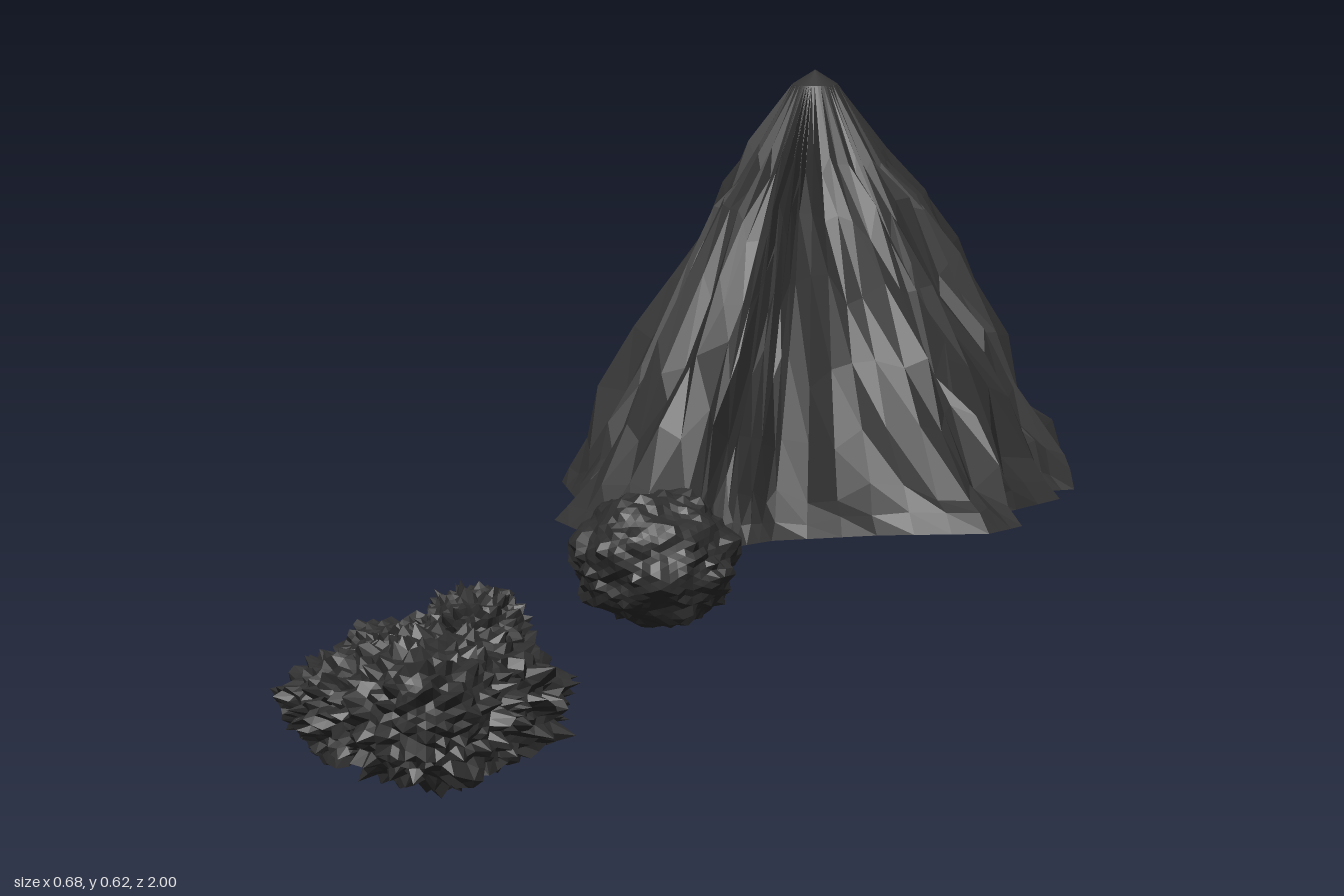
import * as THREE from 'three';
import { mergeVertices } from 'three/addons/utils/BufferGeometryUtils.js';

// Small seeded random generator
function seeded(seed) {
  let s = seed;
  return () => {
    s = (s * 1664525 + 1013904223) % 4294967296;
    return s / 4294967296;
  };
}

// Footprint of the mountain as [x, z], counterclockwise from the back
const footprint = [
  [0, -1], [-0.07, -0.995], [-0.12, -0.975], [-0.18, -0.94], [-0.235, -0.885], [-0.275, -0.815],
  [-0.297, -0.74], [-0.302, -0.63], [-0.34, -0.56], [-0.29, -0.46], [-0.26, -0.43],
  [-0.27, -0.31], [-0.18, -0.21], [-0.065, -0.165], [-0.04, -0.23], [0, -0.21],
  [0.035, -0.26], [0.155, -0.33], [0.29, -0.38], [0.32, -0.44], [0.27, -0.5], [0.33, -0.63],
  [0.29, -0.67], [0.335, -0.7], [0.27, -0.76], [0.29, -0.84], [0.235, -0.87], [0.19, -0.93],
  [0.14, -0.965], [0.08, -0.99],
];

// Rings from summit to foot:
// [height, radius, how far it follows the footprint, roughness, extra bulge at the back]
const rings = [
  [0.598, 0.03, 0, 0, 0], [0.5, 0.083, 0.3, 0.12, 0.02], [0.43, 0.132, 0.5, 0.14, 0.03],
  [0.35, 0.172, 0.5, 0.15, 0.04], [0.26, 0.222, 0.55, 0.15, 0.04], [0.18, 0.26, 0.65, 0.14, 0.035],
  [0.11, 0.297, 0.8, 0.1, 0.03], [0.078, 0.318, 0.92, 0.04, 0.015], [0.055, 0.335, 1, 0, 0],
];

function mountainGeometry() {
  const rand = seeded(7);
  const cx = -0.005, cz = -0.62, split = 3;
  // Columns: subdivided footprint with one gully or ridge offset each
  const columns = [];
  footprint.forEach(([x, z], i) => {
    const [nx, nz] = footprint[(i + 1) % footprint.length];
    for (let k = 0; k < split; k++) {
      const t = k / split;
      const dx = x + (nx - x) * t - cx, dz = z + (nz - z) * t - cz;
      const r = Math.hypot(dx, dz);
      columns.push({ ux: dx / r, uz: dz / r, r, ridge: rand() * 2 - 1 });
    }
  });
  const n = columns.length, pos = [], index = [];
  for (const [y, radius, follow, rough, bulge] of rings) {
    for (const c of columns) {
      const bump = 1 + rough * (c.ridge * 0.5 + (rand() - 0.5) * 0.9);
      const r = (radius * (1 + (c.r / 0.335 - 1) * follow) + bulge * Math.max(0, -c.uz)) * bump;
      const lift = (rand() - 0.5) * rough * 0.4;
      pos.push(cx + c.ux * r, y + lift, cz + c.uz * r);
    }
  }
  for (let i = 0; i < rings.length - 1; i++) {
    for (let j = 0; j < n; j++) {
      const a = i * n + j, b = i * n + (j + 1) % n;
      index.push(a, a + n, b + n, a, b + n, b);
    }
  }
  // Summit and flat underside
  const last = (rings.length - 1) * n, top = rings.length * n;
  pos.push(cx, 0.617, cz, cx, 0.055, cz);
  for (let j = 0; j < n; j++) {
    const k = (j + 1) % n;
    index.push(top, j, k, top + 1, last + k, last + j);
  }
  const g = new THREE.BufferGeometry();
  g.setAttribute('position', new THREE.Float32BufferAttribute(pos, 3));
  g.setIndex(index);
  g.computeVertexNormals();
  return g;
}

// Rough ellipsoid: broad waves plus occasional spikes
function rockGeometry([rx, ry, rz], detail, rough, seed) {
  const rand = seeded(seed);
  let g = new THREE.IcosahedronGeometry(1, detail);
  g.deleteAttribute('normal');
  g.deleteAttribute('uv');
  g = mergeVertices(g, 1e-4);
  const p = g.attributes.position, v = new THREE.Vector3();
  for (let i = 0; i < p.count; i++) {
    v.fromBufferAttribute(p, i);
    const wave = Math.sin(v.x * 5 + seed) * Math.sin(v.y * 6 + seed * 2) * Math.sin(v.z * 5 + seed * 3);
    const k = 0.96 + wave * 0.1 + rough * (Math.pow(rand(), 3) - 0.25);
    p.setXYZ(i, v.x * k * rx, v.y * k * ry, v.z * k * rz);
  }
  g.computeVertexNormals();
  return g;
}

export function createModel() {
  const model = new THREE.Group();
  model.name = 'rockFormations';
  const stone = new THREE.MeshStandardMaterial({ color: 0x333333, flatShading: true });
  stone.name = 'dark grey stone';
  const darkStone = new THREE.MeshStandardMaterial({ color: 0x2d2d2d, flatShading: true });
  darkStone.name = 'charcoal stone';

  const add = (parent, name, geometry, material, position) => {
    const mesh = new THREE.Mesh(geometry, material);
    mesh.name = name;
    if (position) mesh.position.set(...position);
    parent.add(mesh);
  };

  add(model, 'mountain', mountainGeometry(), stone);

  // Round boulder in the middle
  add(model, 'boulder', rockGeometry([0.103, 0.083, 0.09], 9, 0.1, 3), darkStone, [-0.012, 0.103, 0.102]);

  // Jagged outcrop made of overlapping lumps: [name, centre, radii]
  const outcrop = new THREE.Group();
  outcrop.name = 'outcrop';
  model.add(outcrop);
  [
    ['frontLump', [-0.02, 0.1, 0.9], [0.092, 0.075, 0.088]],
    ['middleLump', [-0.03, 0.088, 0.775], [0.118, 0.075, 0.11]],
    ['sideLump', [-0.115, 0.083, 0.82], [0.092, 0.062, 0.068]],
    ['peakLump', [-0.03, 0.135, 0.715], [0.062, 0.062, 0.05]],
    ['linkLump', [-0.1, 0.08, 0.685], [0.08, 0.055, 0.075]],
    ['rearLump', [-0.147, 0.08, 0.61], [0.075, 0.05, 0.067]],
  ].forEach(([name, centre, radii], i) => {
    add(outcrop, name, rockGeometry(radii, 9, 0.28, 11 + i * 5), darkStone, centre);
  });

  return model;
}
